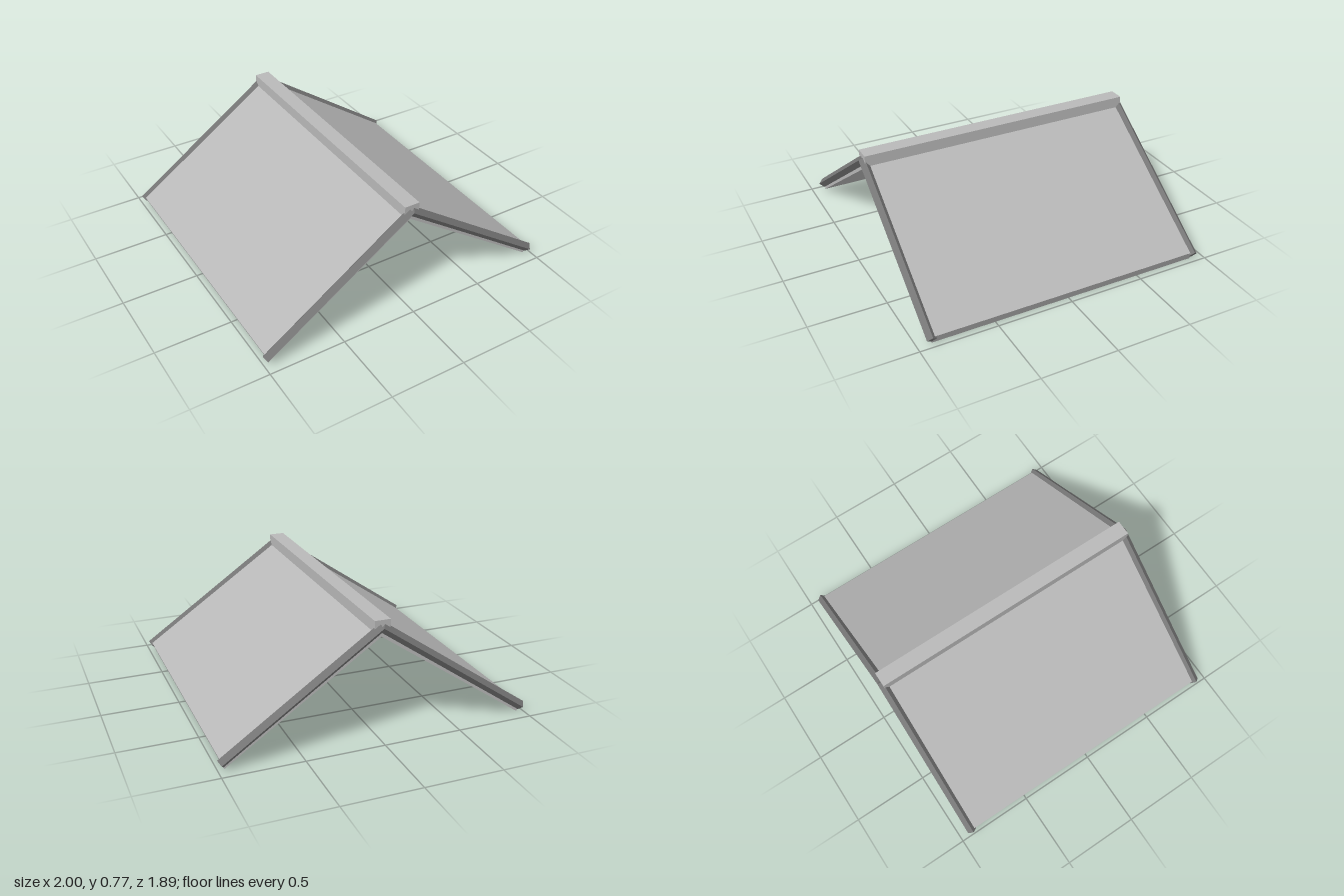
import * as THREE from 'three';

const slate = new THREE.MeshStandardMaterial({ color: 0xb8b8b8, flatShading: true });
slate.name = 'light grey';
const trim = new THREE.MeshStandardMaterial({ color: 0x777777, flatShading: true });
trim.name = 'dark grey';

function add(parent, name, geometry, material) {
  const mesh = new THREE.Mesh(geometry, material);
  mesh.name = name;
  parent.add(mesh);
  return mesh;
}

// Square bar set on its corner, running between two points
function bar(parent, name, from, to, radius) {
  const along = to.clone().sub(from);
  const mesh = add(parent, name, new THREE.CylinderGeometry(radius, radius, along.length(), 4), trim);
  mesh.position.copy(from).addScaledVector(along, 0.5);
  mesh.rotation.z = -Math.atan2(along.x, along.y);
}

export function createModel() {
  const model = new THREE.Group();
  model.name = 'gableRoof';

  // Two sloping slabs, joined along the ridge
  const depth = 1.82;
  for (const [side, s] of [['left', 1], ['right', -1]]) {
    const profile = new THREE.Shape([
      [0, 0.66], [s * 0.958, 0], [s * 0.979, 0.056], [0, 0.73],
    ].map(([x, y]) => new THREE.Vector2(x, y)));
    const geometry = new THREE.ExtrudeGeometry(profile, { depth, bevelEnabled: false });
    geometry.translate(0, 0, -depth / 2);
    add(model, side + 'Slope', geometry, slate);

    // Gable trim along the front and back edges
    for (const [end, z] of [['Front', 0.915], ['Back', -0.915]]) {
      bar(model, side + end + 'Trim',
        new THREE.Vector3(s * 0.982, 0.04, z), new THREE.Vector3(0, 0.722, z), 0.031);
    }
  }

  // Ridge cap
  add(model, 'ridgeCap', new THREE.BoxGeometry(0.1, 0.075, 1.845), slate).position.y = 0.73;

  return model;
}
